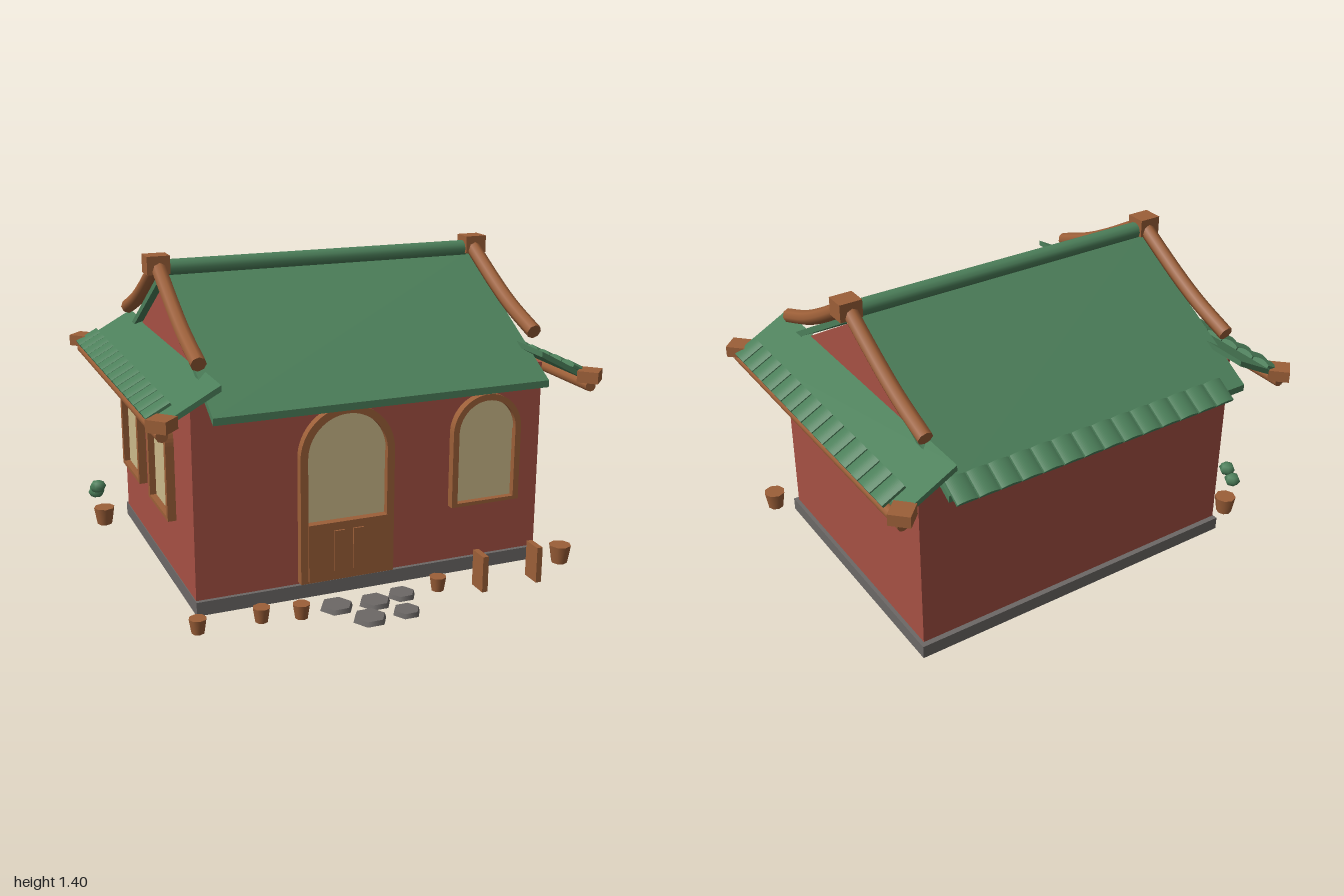
import * as THREE from 'three';

const CZ = -0.06; // ridge line in z

export function createModel() {
  const mat = (name, color) => {
    const m = new THREE.MeshStandardMaterial({ color });
    m.name = name;
    return m;
  };
  const red = mat('red plaster', 0xa65044);
  const green = mat('green tile', 0x4c7f5a);
  const wood = mat('brown wood', 0x9c5f38);
  const cream = mat('cream pane', 0xcbb98a);
  const stone = mat('grey stone', 0x6c6866);

  const model = new THREE.Group();
  model.name = 'house';

  const add = (name, geo, m, x = 0, y = 0, z = 0, parent = model) => {
    const mesh = new THREE.Mesh(geo, m);
    mesh.name = name;
    mesh.position.set(x, y, z);
    parent.add(mesh);
    return mesh;
  };
  const box = (w, h, d) => new THREE.BoxGeometry(w, h, d);
  const polygon = pts => new THREE.Shape(pts.map(p => new THREE.Vector2(...p)));
  const extrude = (shape, depth) =>
    new THREE.ExtrudeGeometry(shape, { depth, bevelEnabled: false, curveSegments: 16 });
  // Extrudes a (z, y) profile along x, centred
  const alongX = (pts, length) =>
    extrude(polygon(pts), length).translate(0, 0, -length / 2).rotateY(Math.PI / 2);

  // Plinth and walls
  add('plinth', box(1.595, 0.06, 1.23), stone, 0.007, 0.05, CZ);
  add('walls', box(1.574, 0.85, 1.187), red, 0, 0.505, -0.0565);
  add('gableWalls', alongX([[-0.58, 0.5], [0.58, 0.5], [0.58, 0.94], [0, 1.288], [-0.58, 0.94]], 1.42),
    red, 0, 0, CZ);

  // Main roof and ridge
  add('mainRoof', alongX([[-0.738, 0.858], [0, 1.295], [0.738, 0.858], [0.738, 0.888], [0, 1.325], [-0.738, 0.888]], 1.475),
    green, 0, 0, CZ);
  add('ridge', new THREE.CylinderGeometry(0.036, 0.036, 1.42, 12).rotateZ(Math.PI / 2), green, 0, 1.342, CZ);

  // Barrel tiles: a row along local x, sloping down towards local z
  const half = 0.046;
  const tileShape = new THREE.Shape();
  tileShape.moveTo(-half, 0);
  tileShape.lineTo(half, 0);
  tileShape.lineTo(half, 0.012);
  tileShape.quadraticCurveTo(0, 0.034, -half, 0.012);
  const tileGeo = extrude(tileShape, 0.112).translate(0, 0, -0.056);
  const tileRow = (name, x, y, z, turn, slope) => {
    const row = new THREE.Group();
    row.name = name;
    row.position.set(x, y, z);
    row.rotation.y = turn;
    for (let i = 0; i < 14; i++)
      add('tile', tileGeo, green, (i - 6.5) * 0.098, 0, 0, row).rotation.x = slope;
    model.add(row);
  };
  tileRow('leftTiles', 0.917, 0.9, -0.028, Math.PI / 2, 0.49);
  tileRow('rightTiles', -0.917, 0.9, -0.113, -Math.PI / 2, 0.49);
  tileRow('backTiles', 0.045, 0.889, -0.79, Math.PI, 0.537);

  // Side eaves, beams and verge poles
  const verge = new THREE.CatmullRomCurve3([
    [0.59, 1.065], [0.4, 1.138], [0.26, 1.208], [0, 1.36],
  ].map(([z, y]) => new THREE.Vector3(0, y, z)));
  const vergeGeo = new THREE.TubeGeometry(verge, 14, 0.033, 8);
  const vergeEnd = new THREE.CircleGeometry(0.033, 8);
  for (const s of [1, -1]) {
    const side = s > 0 ? 'left' : 'right';
    const eave = extrude(polygon([[0.7, 0.99], [0.93, 0.866], [0.93, 0.89], [0.7, 1.015]]), 1.475);
    add(side + 'Eave', eave, green, 0, 0, s > 0 ? -0.8 : 0.675).rotation.y = s > 0 ? 0 : Math.PI;
    add(side + 'EaveBeam', new THREE.CylinderGeometry(0.025, 0.025, 1.5, 10).rotateX(Math.PI / 2),
      wood, s * 0.94, 0.845, CZ);
    for (const z of [-0.802, 0.68])
      add(side + 'BeamCap', box(0.09, 0.05, 0.09), wood, s * 0.937, 0.89, z).rotation.y = Math.PI / 4;
    add(side + 'RidgeCap', box(0.1, 0.078, 0.09), wood, s * 0.75, 1.361, CZ);
    for (const turn of [0, Math.PI]) {
      const pole = new THREE.Group();
      pole.name = side + 'VergePole';
      pole.position.set(s * 0.745, 0, CZ);
      pole.rotation.y = turn;
      add('pole', vergeGeo, wood, 0, 0, 0, pole);
      add('poleEnd', vergeEnd, wood, 0, 1.065, 0.59, pole).rotation.x = 0.36;
      model.add(pole);
    }
  }

  // Arched openings: frame, pane and a fanlight
  const arch = (r, y0, spring, Type = THREE.Shape) => {
    const p = new Type();
    p.moveTo(-r, y0);
    p.lineTo(r, y0);
    p.lineTo(r, spring);
    p.absarc(0, spring, r, 0, Math.PI, false);
    p.lineTo(-r, y0);
    return p;
  };
  const opening = (name, r, y0, spring, border, x, z, turn) => {
    const g = new THREE.Group();
    g.name = name;
    g.position.set(x, 0, z);
    g.rotation.y = turn;
    const frame = arch(r, y0, spring);
    frame.holes.push(arch(r - border, y0 + border * 0.6, spring, THREE.Path));
    add('frame', extrude(frame, 0.045), wood, 0, 0, -0.008, g);
    add('pane', extrude(arch(r - border, y0 + 0.01, spring), 0.008), cream, 0, 0, 0.001, g);
    add('fanlight', extrude(arch(r - border, spring - 0.008, spring), 0.006), cream, 0, 0, 0.009, g);
    model.add(g);
    return g;
  };
  const FRONT = 0.537;
  const door = opening('door', 0.21, 0.09, 0.635, 0.033, -0.135, FRONT, 0);
  add('halfDoor', box(0.355, 0.25, 0.04), wood, 0, 0.225, 0.025, door);
  for (const s of [-1, 1]) add('doorHandle', box(0.048, 0.18, 0.012), wood, s * 0.043, 0.225, 0.047, door);
  opening('frontWindow', 0.163, 0.33, 0.66, 0.027, 0.512, FRONT, 0);
  for (const z of [-0.39, 0.105]) opening('sideWindow', 0.163, 0.33, 0.66, 0.027, -0.787, z, -Math.PI / 2);

  // Pots: x, z, size
  for (const [x, z, k] of [
    [-0.92, -0.59, 1.33], [0.87, 0.63, 1.33],
    [-0.825, 0.69, 1], [-0.56, 0.69, 1], [-0.4, 0.72, 1], [0.23, 0.69, 1],
  ]) add('pot', new THREE.CylinderGeometry(0.037 * k, 0.027 * k, 0.062 * k, 8), wood, x, 0.02 + 0.031 * k, z);

  // Leaves beside the wall
  for (const [y, z] of [[0.188, -0.59], [0.227, -0.548]]) {
    const leaf = add('leaf', new THREE.SphereGeometry(0.039, 6, 4), green, -0.953, y, z);
    leaf.scale.y = 0.8;
  }

  // Gate posts
  for (const x of [0.405, 0.667]) add('gatePost', box(0.026, 0.16, 0.09), wood, x, 0.1, 0.742);

  // Stepping stones: x, z, radius
  for (const [x, z, r] of [
    [-0.135, 0.805, 0.073], [0.03, 0.805, 0.06], [-0.22, 0.655, 0.073], [-0.055, 0.675, 0.07], [0.08, 0.65, 0.062],
  ]) {
    const slab = add('steppingStone', new THREE.CylinderGeometry(r * 0.9, r, 0.02, 6), stone, x, 0.01, z);
    slab.rotation.y = Math.PI / 6;
    slab.scale.y = 1;
  }
  return model;
}
